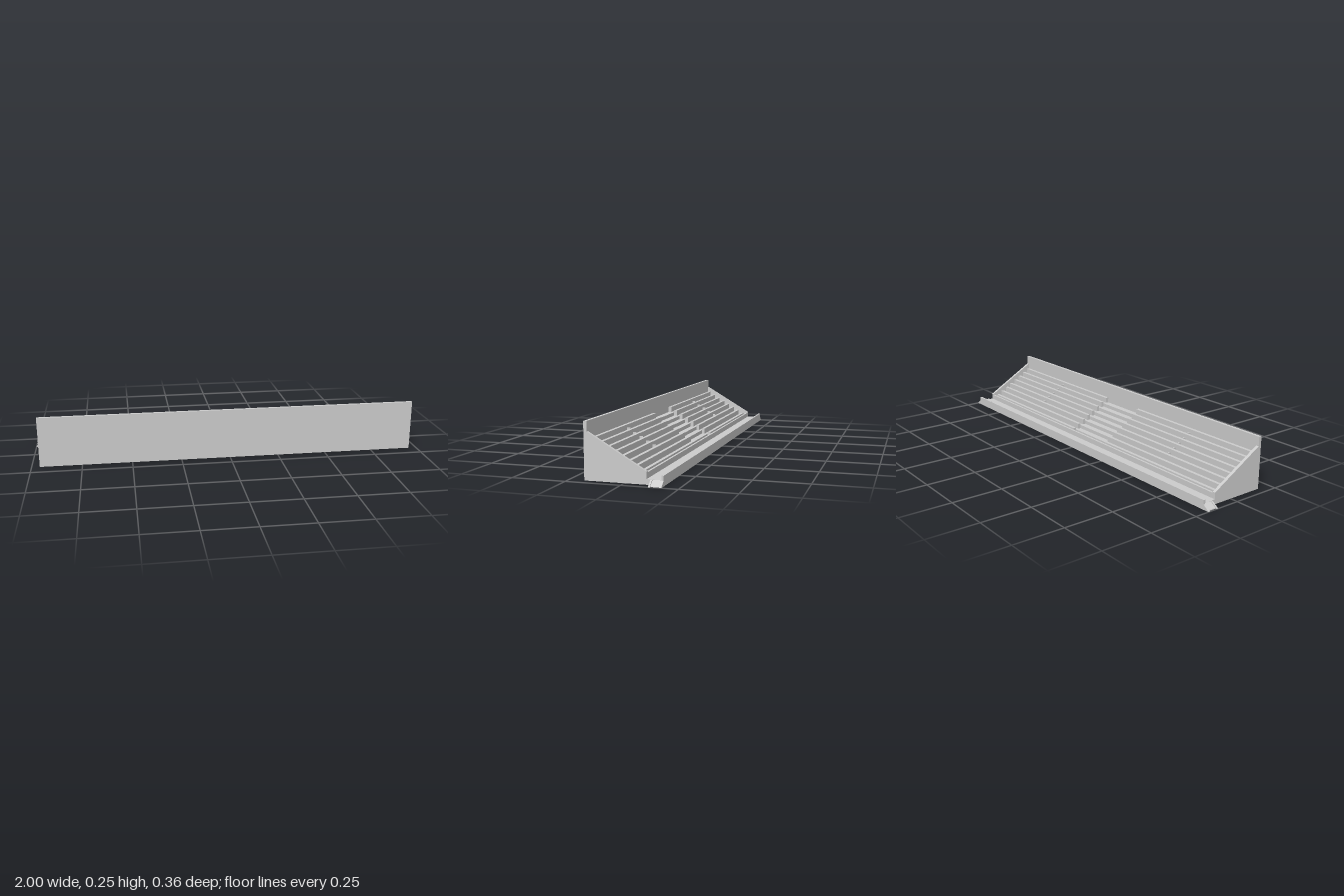
import * as THREE from 'three';

const material = new THREE.MeshStandardMaterial({ color: 0xcccccc, flatShading: true });
const STEPS = 8, BACK = -0.09, FRONT = 0.165, PITCH = (FRONT - BACK) / STEPS;
const slope = z => 0.114 + 0.585 * z;
const tread = i => slope(BACK + (i + 0.5) * PITCH) - 0.05;

export function createModel() {
  const root = new THREE.Group();

  const add = (name, geometry) => {
    const mesh = new THREE.Mesh(geometry, material);
    mesh.name = name;
    root.add(mesh);
    return mesh;
  };
  const box = (name, x0, x1, y0, y1, z0, z1) =>
    add(name, new THREE.BoxGeometry(x1 - x0, y1 - y0, z1 - z0)
      .translate((x0 + x1) / 2, (y0 + y1) / 2, (z0 + z1) / 2));
  // Extrude a [z, y] profile along x
  const profile = (name, points, x0, x1) => {
    const shape = new THREE.Shape(points.map(([z, y]) => new THREE.Vector2(-z, y)));
    const g = new THREE.ExtrudeGeometry(shape, { depth: x1 - x0, bevelEnabled: false });
    return add(name, g.rotateY(Math.PI / 2).translate(x0, 0, 0));
  };

  // Tall front panel
  box('frontPanel', -0.96, 0.96, 0, 0.255, 0.165, 0.18);

  // Stepped bed with a plain finger gap in the middle
  const stairs = [[-0.1, 0], [-0.1, 0.05], [BACK, 0.05]];
  for (let i = 0; i < STEPS; i++) {
    const z = BACK + i * PITCH;
    stairs.push([z, tread(i)], [z + PITCH, tread(i)]);
  }
  stairs.push([FRONT, 0]);
  profile('steppedBed', stairs, -0.945, 0.945);

  for (const s of [-1, 1]) {
    const span = (a, b) => s > 0 ? [a, b] : [-b, -a];

    // Sloping side wall
    profile('sideWall', [[-0.1, 0], [-0.1, 0.055], [0.165, 0.21], [0.165, 0]], ...span(0.945, 0.96));

    // Slot dividers on either side of the gap, with small webs
    for (let i = 0; i < STEPS; i++) {
      const z = BACK + (i + 0.5) * PITCH;
      const top = tread(i) + 0.028;
      box('divider', ...span(0.13, 0.945), tread(i) - 0.005, top, z, z + PITCH / 2);
      if (i > 2) box('slotWeb', ...span(0.537, 0.543), tread(i) - 0.005, top - 0.015, z - PITCH / 2, z);
    }

    // Flared connector at the end of the rear ledge: two cheeks and a recessed core
    const flare = (name, z0, z1, top, inset) => {
      const shape = new THREE.Shape([
        [0.91, 0], [1 - inset, 0], [0.998 - inset, 0.004], [0.97 - inset, 0.024], [0.97 - inset, top], [0.91, top],
      ].map(([x, y]) => new THREE.Vector2(s * x, y)));
      const g = new THREE.ExtrudeGeometry(shape, { depth: z1 - z0, bevelEnabled: false });
      add(name, g.translate(0, 0, z0));
    };
    flare('connectorCheek', -0.128, -0.12, 0.0245, 0);
    flare('connectorCheek', -0.178, -0.168, 0.045, 0);
    flare('connectorCore', -0.168, -0.128, 0.0245, 0.006);
  }

  // Rear ledge and its retaining lip
  box('rearLedge', -0.96, 0.96, 0, 0.024, -0.178, -0.1);
  box('rearLip', -0.965, 0.965, 0.02, 0.045, -0.178, -0.168);

  return root;
}
